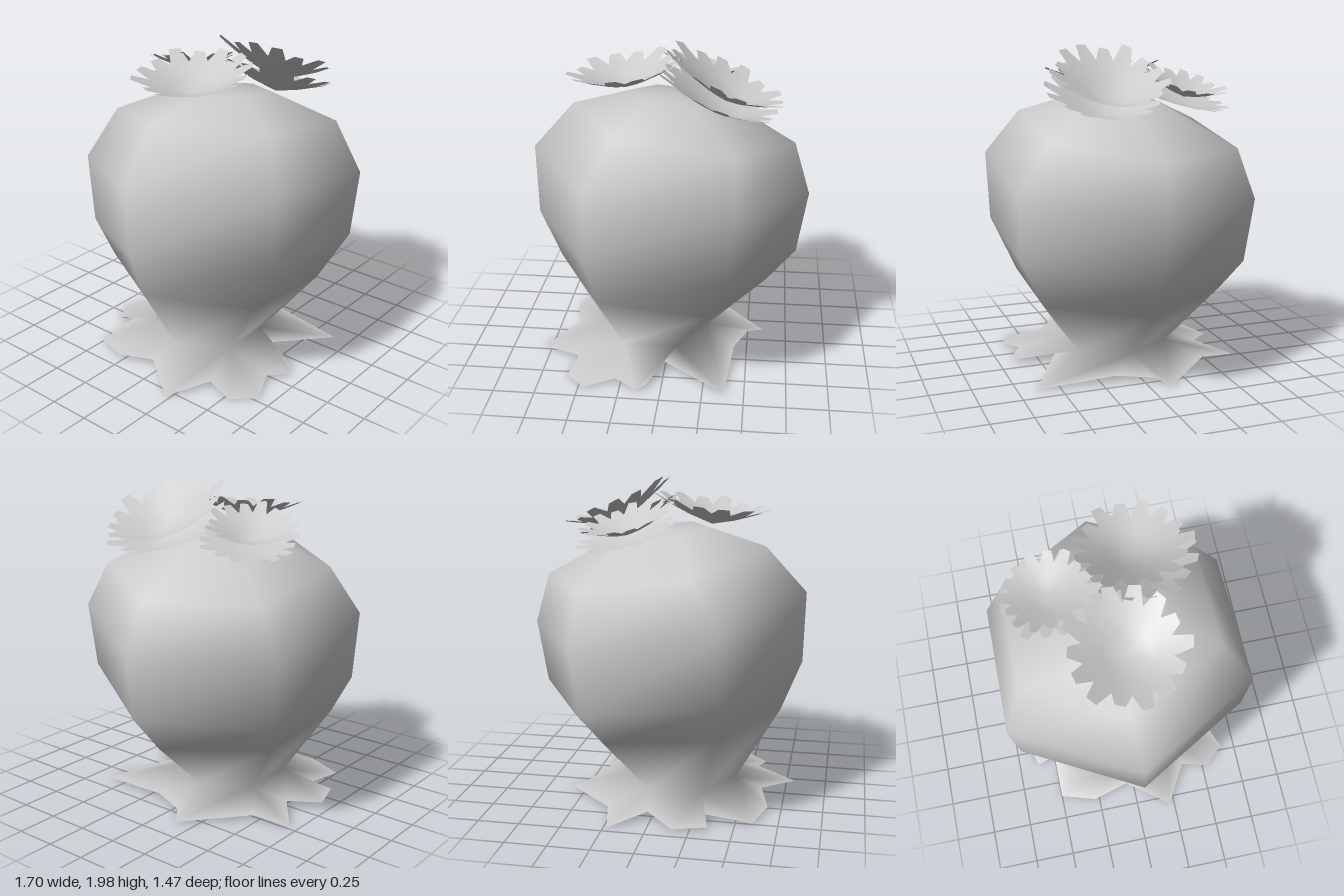
import * as THREE from 'three';

const material = new THREE.MeshStandardMaterial({ color: 0xcccccc, side: THREE.DoubleSide });

function makeMesh(name, positions, indices) {
  const geometry = new THREE.BufferGeometry();
  geometry.setAttribute('position', new THREE.Float32BufferAttribute(positions, 3));
  geometry.setIndex(indices);
  geometry.computeVertexNormals();
  const mesh = new THREE.Mesh(geometry, material);
  mesh.name = name;
  return mesh;
}

// Hexagonal rings of the body: centre x, y, z, radius, slope along x, slope along z
const RINGS = [
  [-0.105, 0.095, -0.01, 0.335, -0.01, 0],
  [-0.055, 0.5, -0.01, 0.655, -0.09, 0],
  [-0.025, 0.77, 0.01, 0.81, -0.124, 0.08],
  [0, 1.18, 0, 0.848, -0.147, 0.08],
  [0.075, 1.475, -0.03, 0.675, -0.155, 0.08],
  [0.03, 1.65, 0, 0.28, -0.11, 0.07],
];

// Ragged outline of the foot (x, z), running from +x towards +z
const FOOT = [
  [0.6, -0.13], [0.5, -0.06], [0.42, 0.16], [0.38, 0.64], [0, 0.42], [-0.09, 0.62],
  [-0.15, 0.67], [-0.28, 0.58], [-0.47, 0.66], [-0.59, 0.53], [-0.55, 0.36], [-0.8, 0.22],
  [-0.61, -0.05], [-0.67, -0.28], [-0.6, -0.5], [-0.32, -0.5], [-0.35, -0.62], [-0.15, -0.68],
  [0.02, -0.53], [0.23, -0.7], [0.28, -0.47],
];

// Tilted hexagonal body, open below, whose neck spreads into the ragged foot
function makeBody() {
  const pos = [], idx = [];
  for (const [cx, cy, cz, r, sx, sz] of RINGS) {
    for (let k = 0; k < 6; k++) {
      const dx = r * Math.cos(k * Math.PI / 3), dz = r * Math.sin(k * Math.PI / 3);
      pos.push(cx + dx, cy + sx * dx + sz * dz, cz + dz);
    }
  }
  for (let j = 0; j < RINGS.length - 1; j++) {
    for (let k = 0; k < 6; k++) {
      const a = j * 6 + k, b = j * 6 + (k + 1) % 6;
      idx.push(a, a + 6, b, b, a + 6, b + 6);
    }
  }
  // top cap
  const top = pos.length / 3, last = (RINGS.length - 1) * 6;
  pos.push(0.03, 1.665, 0);
  for (let k = 0; k < 6; k++) idx.push(last + k, top, last + (k + 1) % 6);

  // foot: each outline point hangs on its nearest neck corner
  const start = pos.length / 3, n = FOOT.length;
  const corner = [];
  for (const [x, z] of FOOT) {
    const dx = x - RINGS[0][0], dz = z - RINGS[0][2];
    const out = Math.hypot(dx, dz) - 0.31;
    pos.push(x, Math.max(0.004, 0.095 - 0.22 * out), z);
    corner.push((Math.round(Math.atan2(dz, dx) / (Math.PI / 3)) + 6) % 6);
  }
  for (let i = 0; i < n; i++) {
    const next = (i + 1) % n, c = corner[i], d = corner[next];
    idx.push(c, start + next, start + i);
    if (d !== c) idx.push(c, d, start + next);
  }
  return makeMesh('body', pos, idx);
}

// One bowl of blunt petals, sheared to follow a tilt
function makePetals(name, { x, y, z, r, h, sx, sz, count = 15, turn = 0 }) {
  const pos = [], idx = [];
  const point = (radius, angle) => {
    const dx = radius * Math.cos(angle), dz = radius * Math.sin(angle);
    pos.push(x + dx, y + h * Math.pow(radius / r, 1.25) + sx * dx + sz * dz, z + dz);
  };
  const step = Math.PI * 2 / count;
  point(0, 0);
  for (let i = 0; i < count; i++) {
    const a = turn + i * step;
    const tip = r * (0.95 + 0.06 * Math.sin(i * 2.4 + turn * 5));
    point(r * 0.38, a);
    point(r * 0.7, a);
    point(tip, a + step * 0.3);
    point(tip * 0.98, a + step * 0.72);
  }
  for (let i = 0; i < count; i++) {
    const a = 1 + i * 4, b = 1 + ((i + 1) % count) * 4;
    idx.push(0, b, a);
    idx.push(a, b, a + 1, b, b + 1, a + 1);
    idx.push(a + 1, b + 1, a + 2, b + 1, a + 3, a + 2);
  }
  return makeMesh(name, pos, idx);
}

function makeFlower(name, layers) {
  const group = new THREE.Group();
  group.name = name;
  layers.forEach((layer, i) => group.add(makePetals(i === 0 ? 'petals' : 'outerPetals', layer)));
  return group;
}

export function createModel() {
  const model = new THREE.Group();
  model.name = 'floweringCactus';
  model.add(makeBody());
  model.add(makeFlower('rightFlower', [
    { x: -0.27, y: 1.7, z: 0.01, r: 0.36, h: 0.14, sx: 0.14, sz: -0.02, count: 14, turn: 0.1 },
  ]));
  model.add(makeFlower('frontFlower', [
    { x: 0.33, y: 1.68, z: 0.16, r: 0.355, h: 0.16, sx: -0.45, sz: 0, turn: 0.2 },
    { x: 0.29, y: 1.615, z: 0.19, r: 0.355, h: 0.13, sx: -0.4, sz: 0, turn: 0.4 },
  ]));
  model.add(makeFlower('backFlower', [
    { x: 0.17, y: 1.67, z: -0.36, r: 0.28, h: 0.11, sx: -0.22, sz: 0.2, turn: 0 },
    { x: 0.18, y: 1.63, z: -0.34, r: 0.3, h: 0.05, sx: -0.2, sz: 0.2, turn: 0.25 },
  ]));
  return model;
}
